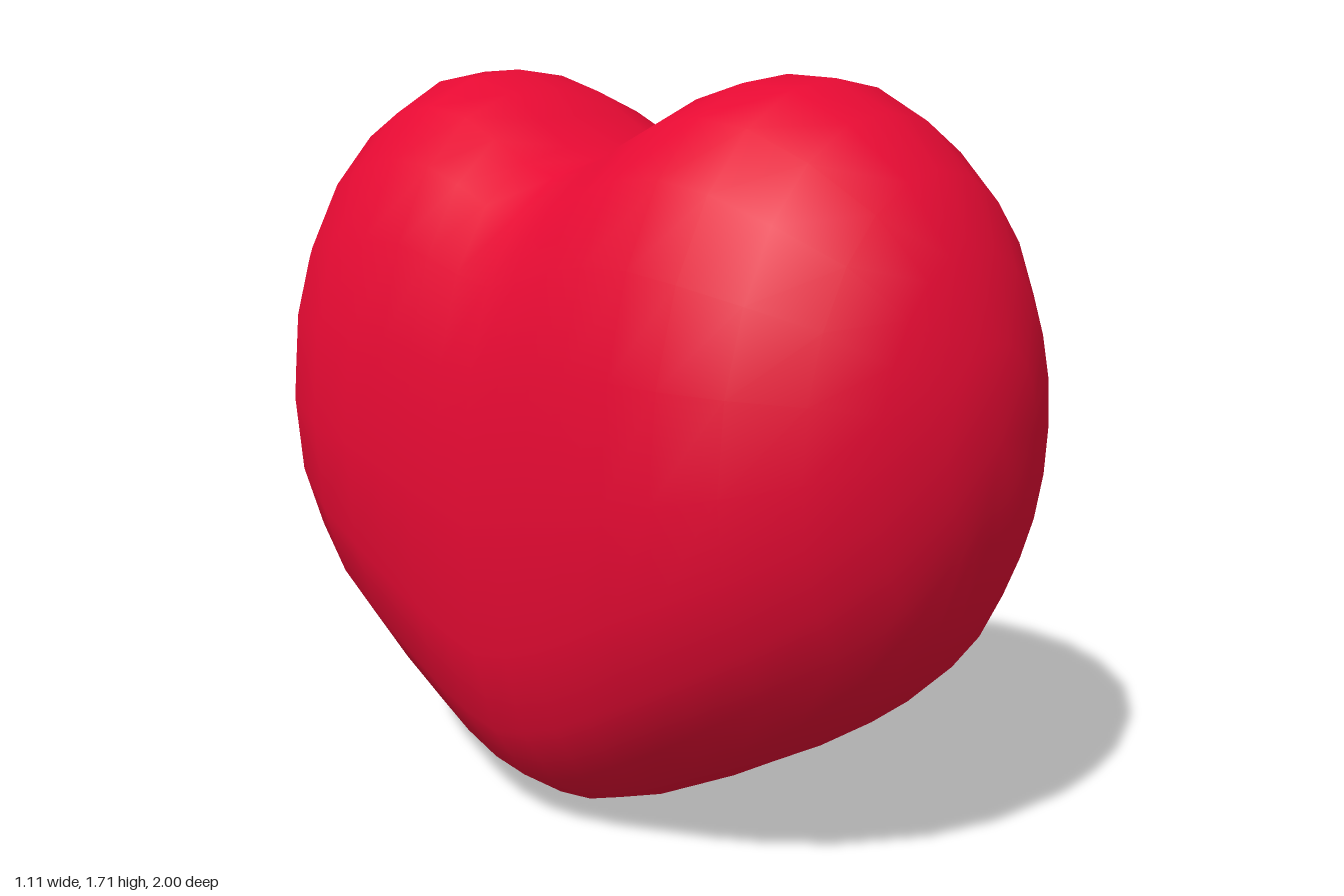
import * as THREE from 'three';
import { mergeVertices } from 'three/addons/utils/BufferGeometryUtils.js';

const SIDES = 24;
const HALF_WIDTH = 0.556;

// Heart outline from the side: [z, top y, bottom y], from the outer pole to the middle
const OUTLINE = [
  [1, 1, 1], [0.98, 1.2, 0.79], [0.92, 1.38, 0.6], [0.83, 1.53, 0.45],
  [0.7, 1.64, 0.33], [0.56, 1.705, 0.235], [0.43, 1.712, 0.16], [0.3, 1.67, 0.095],
  [0.2, 1.61, 0.045], [0.1, 1.55, 0.012], [0, 1.525, 0],
];

// Oval section across x at one z; squarer near the middle so the notch and tip round off sideways
function section([z, top, bottom]) {
  const d = Math.max(0, (Math.abs(z) - 0.49) / 0.51);
  const w = HALF_WIDTH * Math.sqrt(Math.max(0, 1 - d * d));
  const centre = 0.75 + 0.25 * Math.abs(z);
  const points = [];
  for (let j = 0; j < SIDES; j++) {
    const a = (j / SIDES) * Math.PI * 2;
    const c = Math.cos(a);
    const upper = j < SIDES / 2;
    const k = Math.exp(-((z / (upper ? 0.4 : 0.62)) ** 2));
    const rise = Math.max(0, 1 - Math.abs(c) ** (2 + 1.1 * k)) ** (1 / (2 + 0.5 * k));
    points.push(w * c, centre + ((upper ? top : bottom) - centre) * rise, z);
  }
  return points;
}

function heartGeometry() {
  // Mirror the outline from front to back
  const back = OUTLINE.slice(0, -1).reverse().map(([z, t, b]) => [-z, t, b]);
  const rows = [...OUTLINE, ...back];
  const index = [];
  for (let i = 0; i < rows.length - 1; i++) {
    for (let j = 0; j < SIDES; j++) {
      const a = i * SIDES + j;
      const b = i * SIDES + ((j + 1) % SIDES);
      const c = a + SIDES;
      const d = b + SIDES;
      if (i < rows.length - 2) index.push(a, c, d);
      if (i > 0) index.push(a, d, b);
    }
  }
  const geometry = new THREE.BufferGeometry();
  geometry.setAttribute('position', new THREE.Float32BufferAttribute(rows.flatMap(section), 3));
  geometry.setIndex(index);
  const merged = mergeVertices(geometry, 1e-4);
  merged.computeVertexNormals();
  return merged;
}

export function createModel() {
  const group = new THREE.Group();
  const heart = new THREE.Mesh(heartGeometry(), new THREE.MeshStandardMaterial({ color: 0xe60a33 }));
  heart.name = 'heart';
  group.add(heart);
  return group;
}
